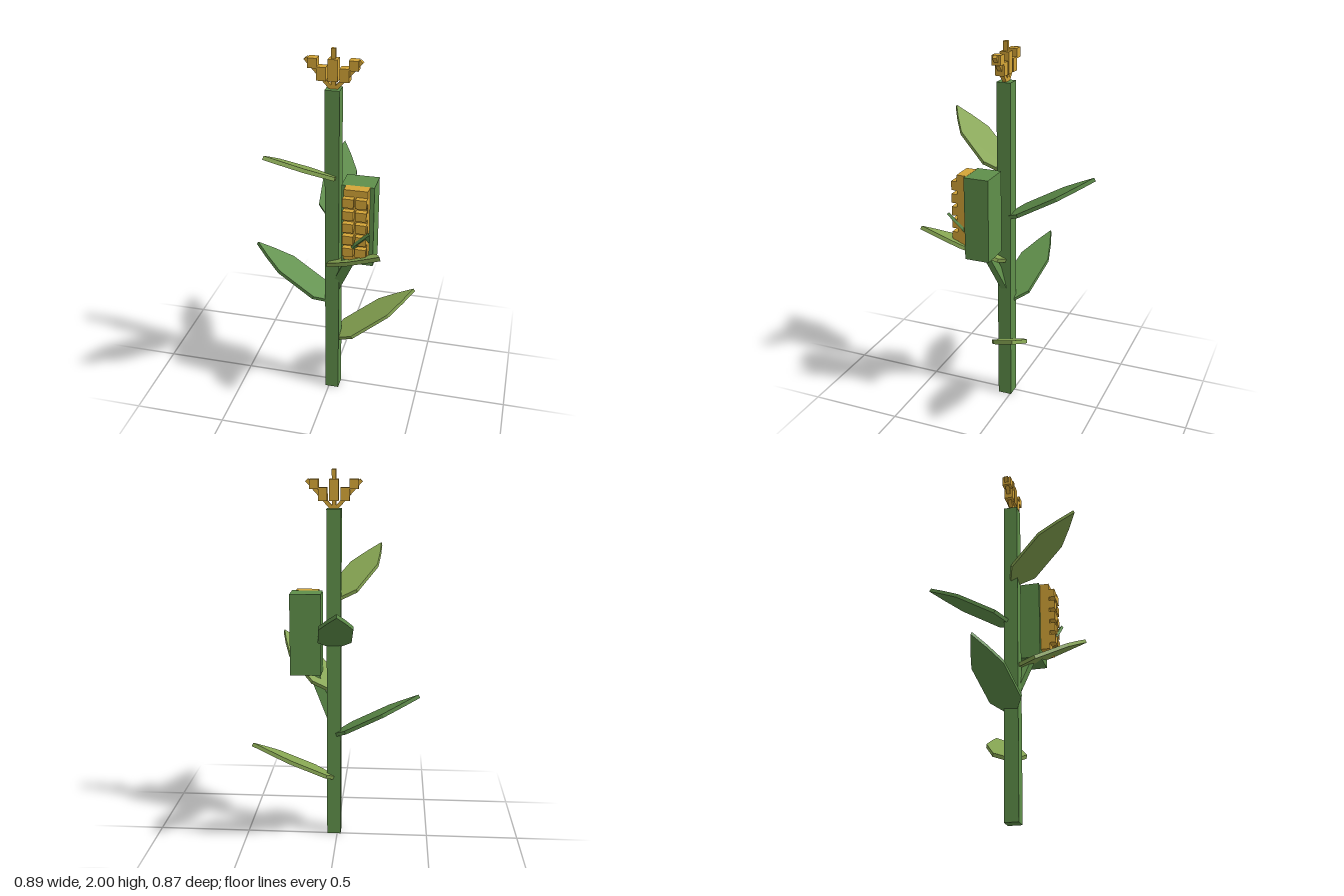
import * as THREE from 'three';

const mat = (name, color) => {
  const m = new THREE.MeshStandardMaterial({ color });
  m.name = name;
  return m;
};

export function createModel() {
  const group = new THREE.Group();
  const green = mat('stalk green', 0x5f8f4a);
  const olive = mat('light leaf green', 0x86a552);
  const gold = mat('corn gold', 0xd4a537);
  const CX = 0.018, CZ = 0.032; // stalk axis

  const add = (name, geometry, material, parent = group) => {
    const mesh = new THREE.Mesh(geometry, material);
    mesh.name = name;
    parent.add(mesh);
    return mesh;
  };
  // box given by its limits on each axis
  const box = (name, x0, x1, y0, y1, z0, z1, material, parent) => {
    const mesh = add(name, new THREE.BoxGeometry(x1 - x0, y1 - y0, z1 - z0), material, parent);
    mesh.position.set((x0 + x1) / 2, (y0 + y1) / 2, (z0 + z1) / 2);
    return mesh;
  };
  // square rod between two points
  const rod = (name, a, b, w, d, material, parent) => {
    const dir = b.clone().sub(a);
    const mesh = add(name, new THREE.BoxGeometry(w, dir.length(), d), material, parent);
    mesh.position.copy(a).add(b).multiplyScalar(0.5);
    mesh.quaternion.setFromUnitVectors(new THREE.Vector3(0, 1, 0), dir.normalize());
    return mesh;
  };
  // thin symmetrical plate from [distance, half width] pairs, running along +x
  const leafGeometry = (profile, thickness, rise, turn) => {
    const left = profile.map(([u, w]) => new THREE.Vector2(u, w));
    const right = profile.filter(p => p[1] > 0).map(([u, w]) => new THREE.Vector2(u, -w)).reverse();
    const g = new THREE.ExtrudeGeometry(new THREE.Shape([...left, ...right]), { depth: thickness, bevelEnabled: false });
    return g.translate(0, 0, -thickness / 2).rotateX(-Math.PI / 2).rotateZ(rise).rotateY(turn);
  };

  // stalk
  box('stalk', CX - 0.0375, CX + 0.0375, 0, 1.8, CZ - 0.0375, CZ + 0.0375, green);

  // leaves spiralling up the stalk
  const blade = [[0, 0.018], [0.095, 0.089], [0.33, 0.088], [0.44, 0.044], [0.532, 0]];
  for (let i = 0; i < 5; i++) {
    const leaf = add('leaf', leafGeometry(blade, 0.02, 0.5, 0.452 + 2.5 * i), i % 2 ? green : olive);
    leaf.position.set(CX, 0.3225 + 0.25 * i, CZ);
  }

  // ear of corn: husk, core and two columns of kernels
  const ear = new THREE.Group();
  ear.name = 'ear';
  group.add(ear);
  box('husk', 0.09, 0.258, 0.905, 1.35, 0.032, 0.165, green, ear);
  box('core', 0.113, 0.236, 0.955, 1.351, 0.16, 0.215, gold, ear);
  for (let row = 0; row < 5; row++) {
    const y = 1.291 - row * 0.069;
    for (const x of [0.141, 0.207]) {
      box('kernel', x - 0.028, x + 0.028, y - 0.024, y + 0.024, 0.21, 0.246, gold, ear);
    }
  }
  rod('earStem', new THREE.Vector3(0.03, 0.67, 0.035), new THREE.Vector3(0.145, 0.93, 0.105), 0.05, 0.035, green, ear);
  const tip = add('huskLeafTip', leafGeometry([[0, 0.046], [0.11, 0.046], [0.21, 0]], 0.015, 0.9, -0.78), green, ear);
  tip.position.set(0.16, 0.98, 0.169);

  // tassel: centre spike and two mirrored branches
  const tassel = new THREE.Group();
  tassel.name = 'tassel';
  tassel.position.set(CX, 0, CZ);
  group.add(tassel);
  box('centreSpike', -0.011, 0.011, 1.79, 2, -0.011, 0.011, gold, tassel);
  box('centreFloret', -0.024, 0.024, 1.84, 1.95, -0.024, 0.024, gold, tassel);
  for (const s of [-1, 1]) {
    rod('branch', new THREE.Vector3(0, 1.79, 0), new THREE.Vector3(s * 0.14, 1.945, 0), 0.02, 0.022, gold, tassel);
    for (const [name, x, y0, y1] of [['innerFloret', 0.058, 1.84, 1.908], ['outerFloret', 0.103, 1.9, 1.95]]) {
      box(name, s * x - 0.0235, s * x + 0.0235, y0, y1, -0.024, 0.024, gold, tassel);
    }
  }
  return group;
}
